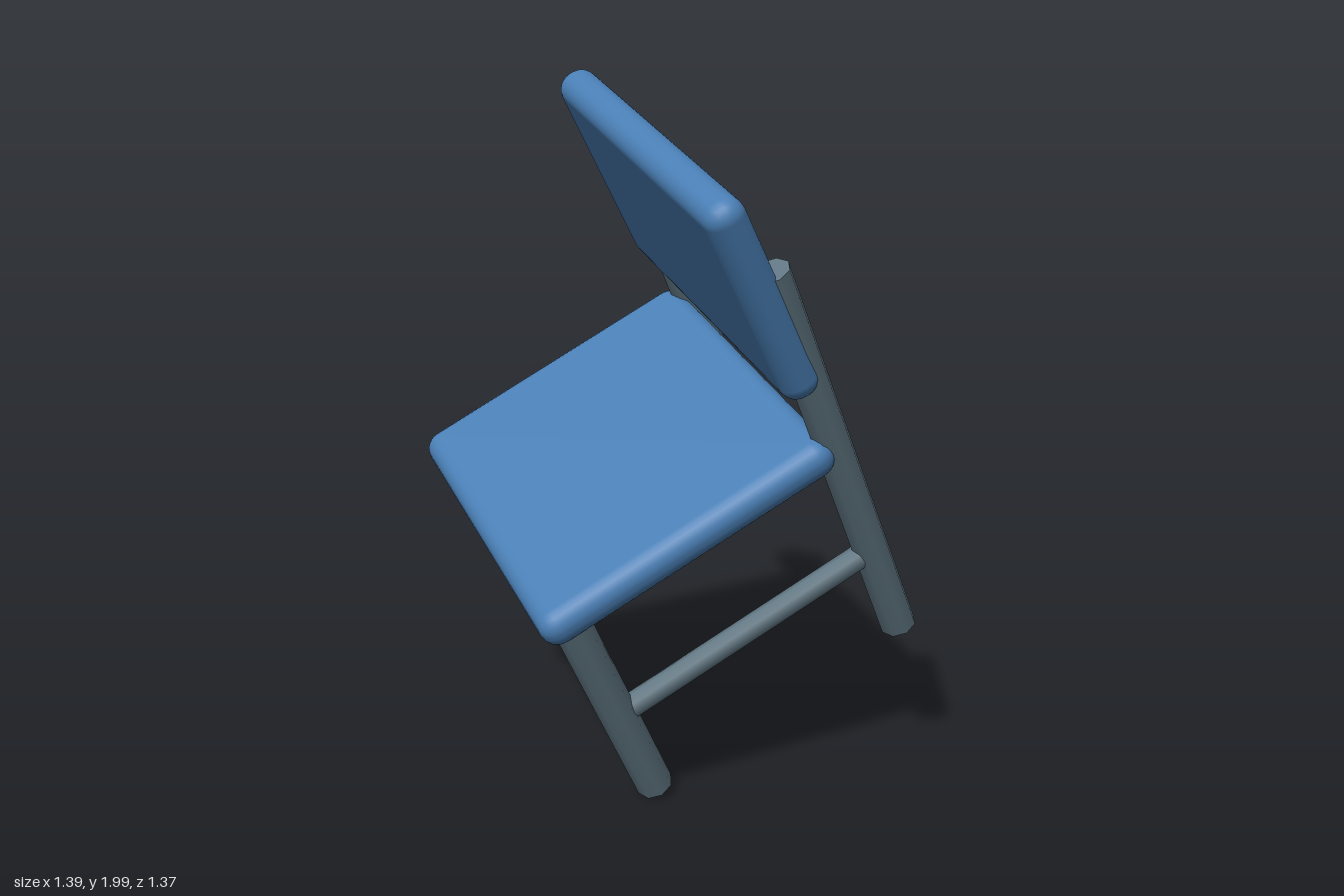
import * as THREE from 'three';
import { RoundedBoxGeometry } from 'three/addons/geometries/RoundedBoxGeometry.js';

export function createModel() {
  const model = new THREE.Group();
  model.name = 'tiltedChair';
  const blue = new THREE.MeshStandardMaterial({ color: 0x4a7fb5 });
  blue.name = 'blue cushion';
  const slate = new THREE.MeshStandardMaterial({ color: 0x607682 });
  slate.name = 'slate frame';

  // The chair is built upright about its feet, then tipped as a whole
  const chair = new THREE.Group();
  chair.name = 'chair';
  model.add(chair);

  const cushion = (name, w, h, d, x, y, z) => {
    const mesh = new THREE.Mesh(new RoundedBoxGeometry(w, h, d, 3, 0.052), blue);
    mesh.name = name;
    mesh.position.set(x, y, z);
    chair.add(mesh);
  };

  // Round bar between two points
  const bar = (name, from, to, radius) => {
    const a = new THREE.Vector3(...from), b = new THREE.Vector3(...to);
    const dir = b.clone().sub(a);
    const mesh = new THREE.Mesh(new THREE.CylinderGeometry(radius, radius, dir.length(), 8), slate);
    mesh.name = name;
    mesh.position.copy(a).add(b).multiplyScalar(0.5);
    mesh.quaternion.setFromUnitVectors(new THREE.Vector3(0, 1, 0), dir.normalize());
    chair.add(mesh);
  };

  // Seat and backrest
  cushion('seat', 1.06, 0.108, 0.915, 0, 0.719, 0.005);
  cushion('backrest', 1.06, 0.64, 0.112, 0, 1.247, -0.447);

  // Legs lean slightly backwards; the rear pair runs up behind the backrest
  const lean = 0.062;
  for (const [side, s] of [['Left', 1], ['Right', -1]]) {
    const x = 0.463 * s;
    bar('frontLeg' + side, [x, 0, 0.421], [x, 0.7, 0.421 - lean * 0.7], 0.053);
    bar('backLeg' + side, [x, 0, -0.421], [x, 1.3, -0.421 - lean * 1.3], 0.053);
    bar('sideStretcher' + side, [x, 0.31, 0.385], [x, 0.31, -0.43], 0.035);
  }
  bar('frontStretcher', [-0.46, 0.32, 0.385], [0.46, 0.32, 0.385], 0.035);

  // Tip the chair onto one foot
  const right = new THREE.Vector3(0.945, -0.231, 0.231).normalize();
  const forward = new THREE.Vector3(-0.326, -0.48, 0.815);
  const up = forward.clone().cross(right).normalize();
  forward.crossVectors(right, up);
  chair.quaternion.setFromRotationMatrix(new THREE.Matrix4().makeBasis(right, up, forward));
  chair.position.set(-0.0725, 0.34, -0.19);
  return model;
}
